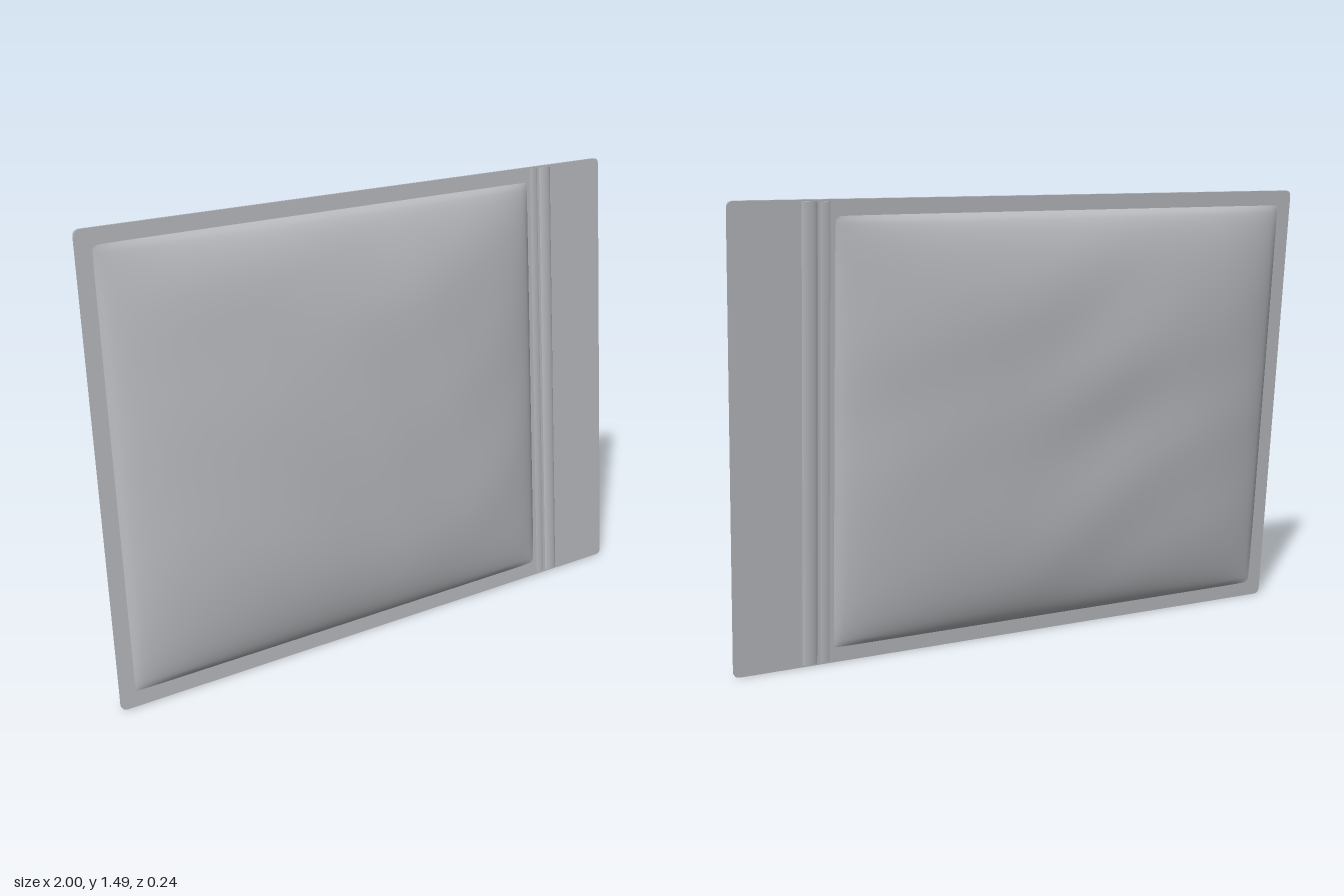
import * as THREE from 'three';

const HALF_W = 1, HALF_H = 0.747, FILM = 0.01;

// Flat sealed film with slightly rounded corners
function filmGeometry() {
  const r = 0.02, w = HALF_W, h = HALF_H;
  const s = new THREE.Shape();
  s.moveTo(-w + r, -h);
  s.lineTo(w - r, -h);
  s.quadraticCurveTo(w, -h, w, -h + r);
  s.lineTo(w, h - r);
  s.quadraticCurveTo(w, h, w - r, h);
  s.lineTo(-w + r, h);
  s.quadraticCurveTo(-w, h, -w, h - r);
  s.lineTo(-w, -h + r);
  s.quadraticCurveTo(-w, -h, -w + r, -h);
  const g = new THREE.ExtrudeGeometry(s, { depth: FILM, bevelEnabled: false, curveSegments: 4 });
  return g.translate(0, 0, -FILM / 2);
}

// Gentle crumples in the filled panel
function wrinkle(x, y, seed) {
  return 0.0022 * Math.sin(5 * x - 8 * y + 2.5 * Math.sin(3 * y + seed) + seed)
    + 0.0018 * Math.sin(9 * x + 6 * y + 2 * Math.sin(4 * x - seed) + 2 * seed)
    + 0.0012 * Math.sin(13 * y - 4 * x + 3 * Math.sin(3 * x + seed));
}

// Puffed panel: steep at the seams, nearly flat in the middle
function panelGeometry(seed) {
  const w = 1.62, h = 1.395, n = 110;
  const g = new THREE.PlaneGeometry(w, h, n, n);
  const p = g.attributes.position;
  const rise = (u, k) => Math.pow(Math.max(0, 1 - Math.pow(Math.abs(u), k)), 0.58);
  for (let i = 0; i < p.count; i++) {
    const x = p.getX(i), y = p.getY(i);
    const f = rise(x / (w / 2), 2.8) * rise(y / (h / 2), 3.2);
    p.setZ(i, FILM / 2 - 0.0005 + 0.091 * f + wrinkle(x, y, seed) * f);
  }
  g.computeVertexNormals();
  return g;
}

export function createModel() {
  const plastic = new THREE.MeshStandardMaterial({ color: 0xb9bbbf });
  plastic.name = 'grey plastic';

  const pouch = new THREE.Group();
  pouch.name = 'pouch';
  const add = (name, geometry) => {
    const m = new THREE.Mesh(geometry, plastic);
    m.name = name;
    pouch.add(m);
    return m;
  };

  add('sealedFilm', filmGeometry());

  // Filled panels on both sides
  add('frontPanel', panelGeometry(0.7)).position.x = -0.14;
  const back = add('backPanel', panelGeometry(2.9));
  back.position.x = -0.14;
  back.rotation.y = Math.PI;

  // Zip closure: a main rib and a shallow welt beside it
  for (const [name, x, half, depth] of [['zipRib', 0.75, 0.028, 0.0105], ['zipWelt', 0.7, 0.022, 0.007]]) {
    const rib = new THREE.CylinderGeometry(1, 1, 2 * HALF_H - 0.012, 32);
    rib.scale(half, 1, depth);
    add(name, rib).position.x = x;
  }

  // Lean slightly backwards, standing on the lower edge
  pouch.rotation.x = -Math.atan2(0.12, 1.5);
  pouch.position.y = 0.745;

  const model = new THREE.Group();
  model.name = 'zipPouch';
  model.add(pouch);
  return model;
}
